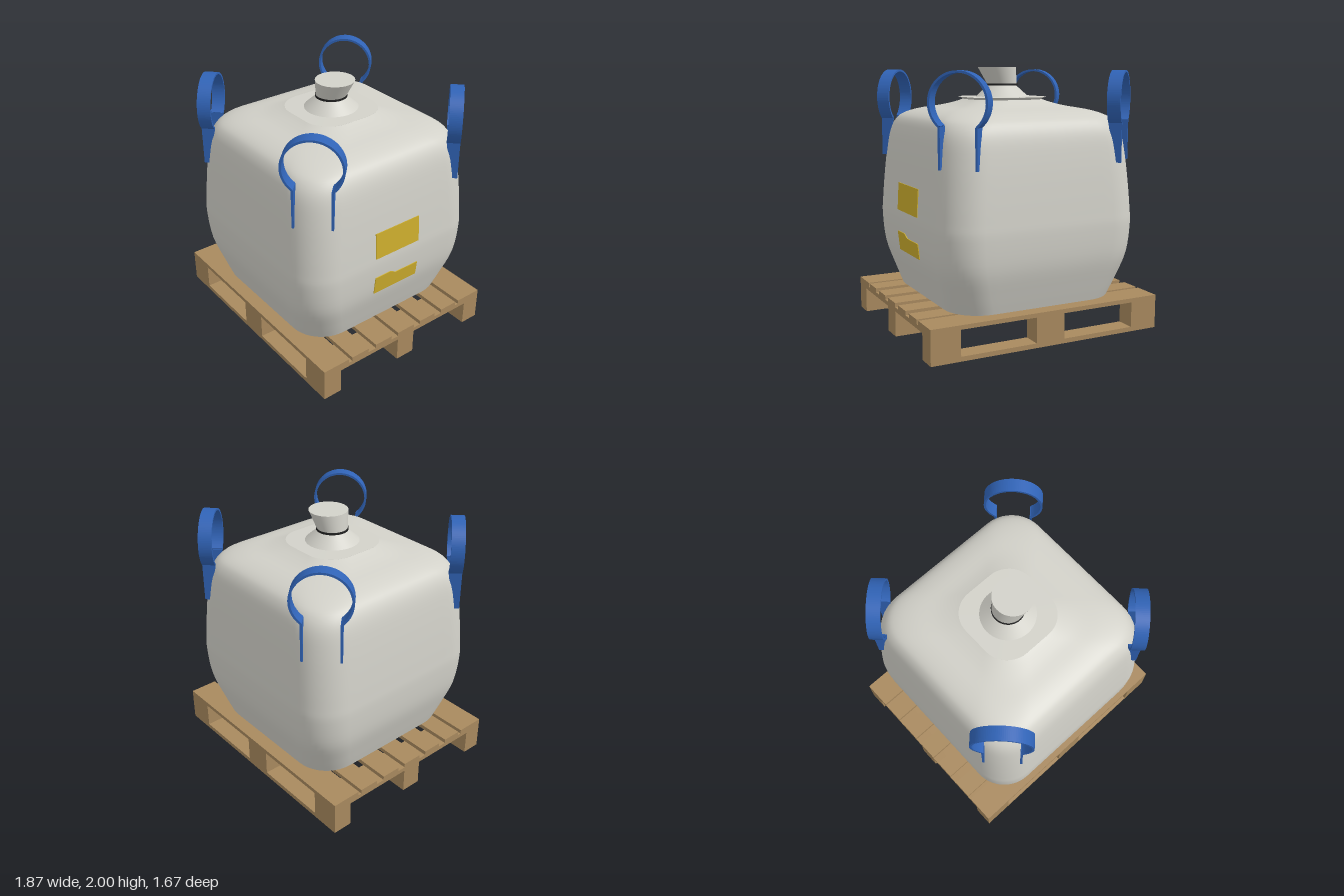
import * as THREE from 'three';

const mat = (name, color, side = THREE.FrontSide) => {
  const m = new THREE.MeshStandardMaterial({ color, side });
  m.name = name;
  return m;
};

export function createModel() {
  const fabric = mat('grey fabric', 0xd2d1c9, THREE.DoubleSide);
  const webbing = mat('blue webbing', 0x3063b6);
  const wood = mat('pallet wood', 0xa8895e);
  const yellow = mat('yellow label', 0xcdae2d);
  const black = mat('black tie', 0x222222);

  const model = new THREE.Group();
  model.name = 'bulkBagOnPallet';
  const group = (name, parent = model) => {
    const g = new THREE.Group();
    g.name = name;
    parent.add(g);
    return g;
  };
  const add = (parent, name, geo, material, x = 0, y = 0, z = 0) => {
    const m = new THREE.Mesh(geo, material);
    m.name = name;
    m.position.set(x, y, z);
    parent.add(m);
    return m;
  };
  // Box given by its ranges in x, y and z
  const slab = (parent, name, x0, x1, y0, y1, z0, z1) =>
    add(parent, name, new THREE.BoxGeometry(x1 - x0, y1 - y0, z1 - z0), wood,
      (x0 + x1) / 2, (y0 + y1) / 2, (z0 + z1) / 2);

  // Pallet
  const pallet = group('pallet');
  const rows = [[-0.78, -0.63], [-0.08, 0.08], [0.63, 0.78]];
  const columns = [[-0.935, -0.71], [-0.115, 0.115], [0.71, 0.935]];
  const boards = [[-0.08, 0.08]];
  for (const [a, b] of [[0.145, 0.3], [0.37, 0.525], [0.555, 0.78]]) boards.push([a, b], [-b, -a]);
  for (const [z0, z1] of boards) slab(pallet, 'topBoard', -0.935, 0.935, 0.228, 0.26, z0, z1);
  for (const [z0, z1] of rows) slab(pallet, 'bottomRunner', -0.935, 0.935, 0, 0.035, z0, z1);
  for (const [x0, x1] of columns) {
    slab(pallet, 'crossBoard', x0, x1, 0.195, 0.228, -0.78, 0.78);
    for (const [z0, z1] of rows) slab(pallet, 'block', x0, x1, 0.035, 0.195, z0, z1);
  }

  // Outline of a rounded square with half width h
  const outline = (h) => {
    const r = Math.min(h, 0.27, 0.2 + (h - 0.3) * 0.2);
    const corners = [];
    for (let k = 0; k < 4; k++) {
      const mid = Math.PI / 4 + k * Math.PI / 2;
      const cx = Math.sign(Math.cos(mid)) * (h - r), cz = Math.sign(Math.sin(mid)) * (h - r);
      for (let i = 0; i <= 10; i++) {
        const a = mid - Math.PI / 4 + i * Math.PI / 20;
        corners.push([cx + r * Math.cos(a), cz + r * Math.sin(a)]);
      }
    }
    // extra points along the straight sides
    return corners.flatMap((p, i) => {
      if (i % 11 !== 10) return [p];
      const q = corners[(i + 1) % corners.length];
      return [0, 0.08, 0.36, 0.64, 0.92].map((t) => [p[0] + (q[0] - p[0]) * t, p[1] + (q[1] - p[1]) * t]);
    });
  };
  // Stack of rounded squares, from [half width, height] pairs
  const loft = (profile) => {
    const positions = [], index = [];
    let n = 0;
    profile.forEach(([h, y], j) => {
      const ring = outline(h);
      n = ring.length;
      for (const [x, z] of ring) positions.push(x, y, z);
      if (j === 0) return;
      for (let i = 0; i < n; i++) {
        const a = (j - 1) * n + i, b = (j - 1) * n + (i + 1) % n;
        index.push(a, a + n, b, b, a + n, b + n);
      }
    });
    const g = new THREE.BufferGeometry();
    g.setAttribute('position', new THREE.Float32BufferAttribute(positions, 3));
    g.setIndex(index);
    g.computeVertexNormals();
    return g;
  };

  // Filled bag
  const bag = group('bag');
  const side = new THREE.SplineCurve([
    [0.675, 0.262], [0.72, 0.4], [0.777, 0.6], [0.796, 0.82], [0.792, 0.95], [0.78, 1.13],
    [0.762, 1.33], [0.738, 1.5], [0.7, 1.595], [0.645, 1.645], [0.55, 1.68], [0.42, 1.706],
    [0.33, 1.733], [0.275, 1.756],
  ].map(([h, y]) => new THREE.Vector2(h, y)));
  add(bag, 'bagBody', loft(side.getPoints(52).map((p) => [p.x, p.y])), fabric);
  add(bag, 'bagBase', loft([[0.001, 0.262], [0.675, 0.262]]), fabric);
  add(bag, 'collar', loft([[0.275, 1.752], [0.285, 1.764], [0.305, 1.772]]), fabric);
  add(bag, 'collarTop', loft([[0.305, 1.773], [0.001, 1.775]]), fabric);

  // Tied spout, leaning to one side at its mouth
  const spout = group('spout');
  add(spout, 'spoutCone', new THREE.CylinderGeometry(0.108, 0.203, 0.085, 48, 1, true), fabric, 0, 1.8175, 0);
  add(spout, 'tie', new THREE.CylinderGeometry(0.12, 0.12, 0.016, 48), black, 0, 1.866, 0);
  const mouth = new THREE.CylinderGeometry(0.147, 0.115, 0.13, 48);
  const p = mouth.attributes.position;
  for (let i = 0; i < p.count; i++) if (p.getY(i) > 0) p.setX(i, p.getX(i) + 0.045);
  mouth.computeVertexNormals();
  add(spout, 'spoutMouth', mouth, fabric, 0, 1.935, 0);

  // Lifting loops, one across each corner
  const drop = Math.atan2(0.16, 0.135);
  const arc = new THREE.Shape();
  arc.absarc(0, 0, 0.218, -drop, Math.PI + drop, false);
  arc.absarc(0, 0, 0.202, Math.PI + drop, -drop, true);
  const arcGeo = new THREE.ExtrudeGeometry(arc, { depth: 0.1, bevelEnabled: false, curveSegments: 40 });
  const leg = new THREE.Shape(
    [[0, 1.305], [0.05, 1.305], [0.05, 1.6], [-0.05, 1.6]].map(([x, y]) => new THREE.Vector2(x, y)));
  const legGeo = new THREE.ExtrudeGeometry(leg, { depth: 0.016, bevelEnabled: false }).rotateY(-Math.PI / 2);
  for (let k = 0; k < 4; k++) {
    const loop = group('liftingLoop');
    loop.rotation.y = Math.PI / 4 + k * Math.PI / 2;
    add(loop, 'loopArc', arcGeo, webbing, 0, 1.76, 0.864);
    for (const s of [-1, 1]) add(loop, 'loopLeg', legGeo, webbing, s * 0.135 + 0.008, 0, 0.914);
  }

  // Label plates on the left side, leaning with the bulge
  const label = (name, points, x, y, tilt) => {
    const shape = new THREE.Shape(points.map(([u, v]) => new THREE.Vector2(u, v)));
    const geo = new THREE.ExtrudeGeometry(shape, { depth: 0.006, bevelEnabled: false }).rotateY(Math.PI / 2);
    add(bag, name, geo, yellow, x, y, 0).rotation.z = tilt;
  };
  label('upperLabel', [[-0.205, 0], [0.205, 0], [0.205, 0.21], [-0.205, 0.21]], 0.793, 0.915, 0.057);
  label('lowerLabel', [[-0.205, 0], [0.205, 0], [0.205, 0.12], [-0.01, 0.12], [-0.06, 0.15], [-0.205, 0.15]],
    0.778, 0.6, -0.113);

  return model;
}
